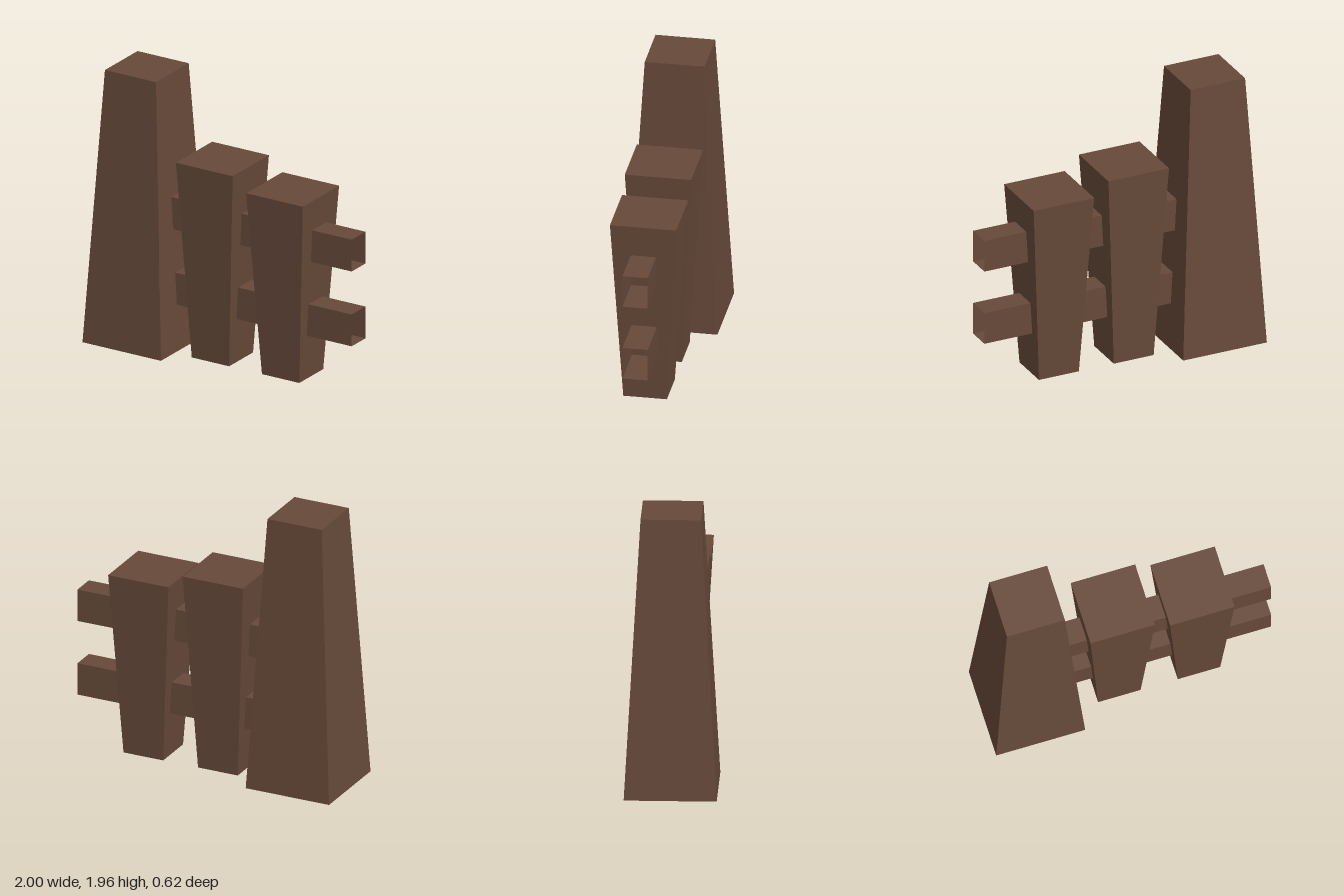
import * as THREE from 'three';

// Box with some faces left open (0 +x, 1 -x, 2 +y, 3 -y, 4 +z, 5 -z)
function openBox(w, h, d, openFaces) {
  const geo = new THREE.BoxGeometry(w, h, d);
  const index = Array.from(geo.index.array);
  geo.setIndex(index.filter((_, i) => !openFaces.includes(Math.floor(i / 6))));
  geo.clearGroups();
  return geo;
}

// Square post, hollow underneath, with different widths at foot and top
function taperedPost(bottom, top, height) {
  const geo = openBox(1, height, 1, [3]);
  geo.translate(0, height / 2, 0);
  const p = geo.attributes.position;
  for (let i = 0; i < p.count; i++) {
    const size = p.getY(i) > height / 2 ? top : bottom;
    p.setX(i, p.getX(i) * size);
    p.setZ(i, p.getZ(i) * size);
  }
  geo.computeVertexNormals();
  return geo;
}

export function createModel() {
  const model = new THREE.Group();
  model.name = 'fence';
  const wood = new THREE.MeshStandardMaterial({ color: 0x664939, side: THREE.DoubleSide });
  wood.name = 'brown wood';

  const add = (name, geo, x, y) => {
    const mesh = new THREE.Mesh(geo, wood);
    mesh.name = name;
    mesh.position.set(x, y, 0);
    model.add(mesh);
  };

  // Tall end post narrows upward, the two pickets widen upward
  add('endPost', taperedPost(0.625, 0.407, 1.955), -0.6875, 0);
  add('tallPicket', taperedPost(0.298, 0.452, 1.417), -0.085, 0);
  add('shortPicket', taperedPost(0.298, 0.452, 1.317), 0.474, 0);

  // Two hollow rails, open at both ends
  const start = -0.5;
  const length = 1 - start;
  add('upperRail', openBox(length, 0.23, 0.172, [0, 1]), start + length / 2, 0.981);
  add('lowerRail', openBox(length, 0.23, 0.172, [0, 1]), start + length / 2, 0.44);

  return model;
}
